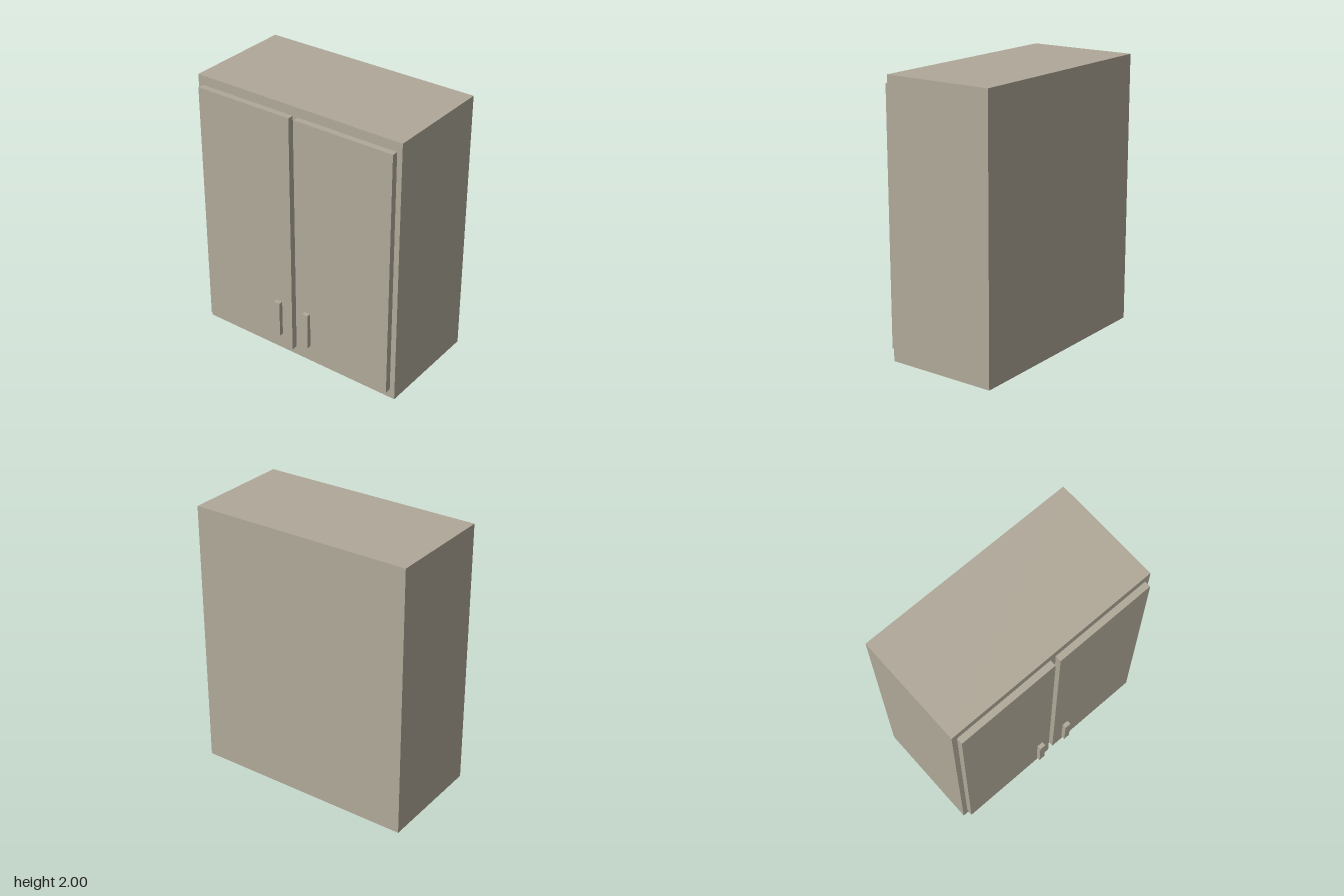
import * as THREE from 'three';

const cabinetPaint = new THREE.MeshStandardMaterial({ color: 0xb0a999, side: THREE.DoubleSide });
cabinetPaint.name = 'cabinetPaint';

// Box given by its lower and upper corners
function box(name, [x0, y0, z0], [x1, y1, z1]) {
  const geometry = new THREE.BoxGeometry(x1 - x0, y1 - y0, z1 - z0);
  const mesh = new THREE.Mesh(geometry, cabinetPaint);
  mesh.name = name;
  mesh.position.set((x0 + x1) / 2, (y0 + y1) / 2, (z0 + z1) / 2);
  return mesh;
}

export function createModel() {
  const cabinet = new THREE.Group();
  cabinet.name = 'wallCabinet';

  // Thin-walled carcass, open underneath: drop the box's bottom face
  const carcass = box('carcass', [-0.832, 0, -0.458], [0.832, 2, 0.368]);
  const faces = Array.from(carcass.geometry.index.array);
  faces.splice(18, 6);
  carcass.geometry.setIndex(faces);
  carcass.geometry.clearGroups();
  cabinet.add(carcass);

  // A pair of doors, each with a bar handle near the middle
  for (const [side, s] of [['left', 1], ['right', -1]]) {
    const door = box(side + 'Door', [0.021, 0.071, 0.37], [0.794, 1.931, 0.416]);
    const handle = box(side + 'Handle', [0.1, 0.183, 0.426], [0.149, 0.46, 0.458]);
    for (const part of [door, handle]) {
      part.position.x *= s;
      cabinet.add(part);
    }
  }
  return cabinet;
}
